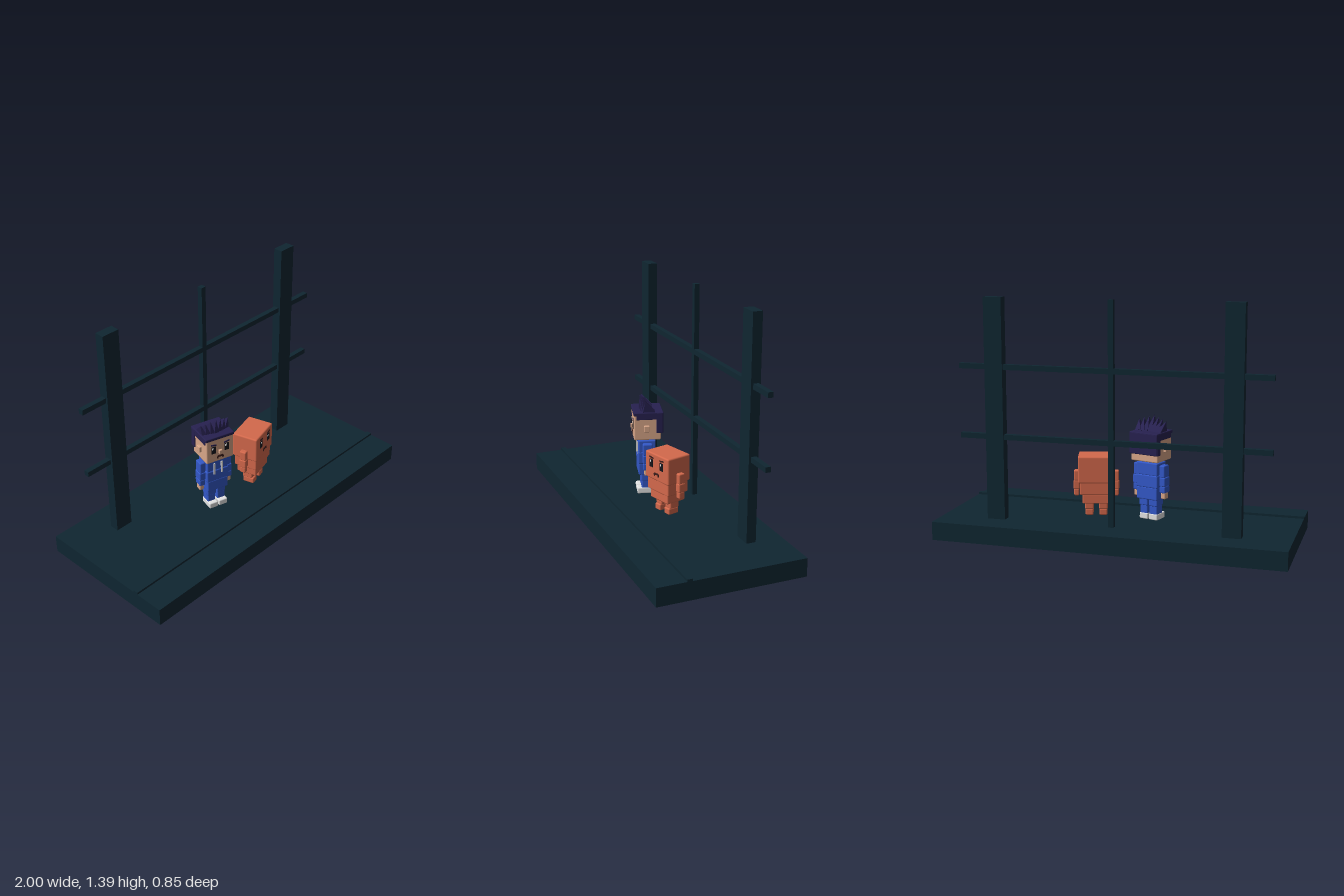
import * as THREE from 'three';
import { RoundedBoxGeometry } from 'three/addons/geometries/RoundedBoxGeometry.js';

const mat = (name, color) => {
  const m = new THREE.MeshStandardMaterial({ color });
  m.name = name;
  return m;
};

export function createModel() {
  const M = {
    wood: mat('dark teal wood', 0x0f2631),
    orange: mat('orange clay', 0xd4694c),
    blue: mat('blue cloth', 0x3358c8),
    skin: mat('skin', 0xd8a688),
    hair: mat('navy hair', 0x272150),
    white: mat('off white', 0xe4e4e4),
    black: mat('black', 0x14141a),
    dark: mat('dark brown', 0x3a1d1a),
  };

  const add = (parent, name, geo, material, x, y, z) => {
    const mesh = new THREE.Mesh(geo, material);
    mesh.name = name;
    mesh.position.set(x, y, z);
    parent.add(mesh);
    return mesh;
  };
  // Sharp box, placed by centre
  const box = (p, name, m, w, h, d, x, y, z) =>
    add(p, name, new THREE.BoxGeometry(w, h, d), m, x, y, z);
  // Soft-edged block, placed by its bottom and top heights
  const block = (p, name, m, w, d, y0, y1, x = 0, z = 0, r = 0.007) =>
    add(p, name, new RoundedBoxGeometry(w, y1 - y0, d, 2, r), m, x, (y0 + y1) / 2, z);

  const group = (parent, name) => {
    const g = new THREE.Group();
    g.name = name;
    parent.add(g);
    return g;
  };

  const model = new THREE.Group();
  model.name = 'figuresOnPlatform';

  // Platform with a low front strip
  const stage = group(model, 'stage');
  box(stage, 'platform', M.wood, 2, 0.105, 0.845, 0, 0.0825, 0);
  box(stage, 'frontStrip', M.wood, 2, 0.02, 0.03, 0, 0.138, 0.24);

  // Fence: two posts, a middle rod and two rails
  for (const s of [-1, 1]) box(stage, 'post', M.wood, 0.105, 1.39, 0.055, s * 0.675, 0.695, -0.238);
  box(stage, 'middleRod', M.wood, 0.03, 1.388, 0.03, 0, 0.694, -0.238);
  for (const y of [0.608, 1.003]) box(stage, 'rail', M.wood, 1.77, 0.03, 0.03, 0, y, -0.238);

  // Eyes, brows and mouth as thin plates on a face plane
  const face = (p, z, eyeX, eyeY, mouthY, brow) => {
    for (const s of [-1, 1]) {
      box(p, 'eye', M.black, 0.027, 0.046, 0.005, s * eyeX, eyeY, z);
      box(p, 'eyeShine', M.white, 0.009, 0.012, 0.003, s * eyeX - 0.006, eyeY + 0.012, z + 0.003);
      const b = box(p, 'eyebrow', brow, 0.034, 0.008, 0.006, s * eyeX, eyeY + 0.034, z);
      b.rotation.z = s * 0.15;
    }
    box(p, 'mouth', M.dark, 0.036, 0.011, 0.006, 0, mouthY, z);
    for (const s of [-1, 1]) box(p, 'mouthCorner', M.dark, 0.009, 0.013, 0.006, s * 0.017, mouthY - 0.007, z);
  };

  // Boy in blue
  const boy = group(model, 'boy');
  boy.position.set(-0.163, 0, -0.003);
  boy.rotation.y = -0.28;
  block(boy, 'head', M.skin, 0.172, 0.155, 0.478, 0.635);
  face(boy, 0.078, 0.042, 0.562, 0.512, M.hair);
  block(boy, 'nose', M.skin, 0.02, 0.02, 0.53, 0.555, 0, 0.08, 0.004);
  block(boy, 'neck', M.skin, 0.07, 0.07, 0.455, 0.485);
  block(boy, 'chest', M.blue, 0.135, 0.1, 0.395, 0.468);
  block(boy, 'waist', M.blue, 0.14, 0.105, 0.325, 0.398);
  block(boy, 'hem', M.blue, 0.132, 0.1, 0.255, 0.328);
  for (const s of [-1, 1]) {
    box(boy, 'drawstring', M.white, 0.01, 0.075, 0.008, s * 0.024, 0.41, 0.052);
    block(boy, 'ear', M.skin, 0.02, 0.032, 0.53, 0.567, s * 0.091, 0.005, 0.004);
    // Arm: shoulder, elbow, cuff, hand
    block(boy, 'upperArm', M.blue, 0.036, 0.055, 0.385, 0.455, s * 0.083);
    block(boy, 'elbow', M.blue, 0.04, 0.058, 0.335, 0.388, s * 0.085);
    block(boy, 'cuff', M.blue, 0.036, 0.055, 0.297, 0.338, s * 0.087);
    block(boy, 'hand', M.skin, 0.028, 0.04, 0.262, 0.3, s * 0.088);
    // Leg: thigh, shin, shoe
    block(boy, 'thigh', M.blue, 0.056, 0.07, 0.215, 0.262, s * 0.031);
    block(boy, 'shin', M.blue, 0.05, 0.062, 0.165, 0.22, s * 0.031);
    block(boy, 'shoe', M.white, 0.055, 0.09, 0.135, 0.172, s * 0.031, 0.012);
  }

  // Hair: cap, back, side flaps and a fan of spikes
  const hair = group(boy, 'hair');
  block(hair, 'hairCap', M.hair, 0.182, 0.172, 0.625, 0.645, 0, -0.006, 0.005);
  block(hair, 'hairBack', M.hair, 0.18, 0.035, 0.52, 0.642, 0, -0.075, 0.005);
  for (const s of [-1, 1]) {
    block(hair, 'sideBand', M.hair, 0.012, 0.15, 0.602, 0.64, s * 0.085, -0.01, 0.003);
    block(hair, 'sideFlap', M.hair, 0.014, 0.036, 0.52, 0.64, s * 0.085, -0.07, 0.003);
  }
  for (let i = -3; i <= 3; i++) {
    const h = 0.098 - Math.abs(i) * 0.008;
    const geo = new THREE.ConeGeometry(0.03, h, 4, 1).rotateY(Math.PI / 4).toNonIndexed();
    geo.computeVertexNormals();
    geo.scale(0.85, 1, 1.9).translate(0, h / 2, 0);
    const spike = add(hair, 'hairSpike', geo, M.hair, i * 0.022, 0.635, 0.006 - Math.abs(i) * 0.004);
    spike.rotation.set(0.3, 0, -i * 0.1);
  }

  // Orange block creature
  const creature = group(model, 'creature');
  creature.position.set(0.163, 0, 0);
  creature.rotation.y = 0.27;
  block(creature, 'head', M.orange, 0.205, 0.157, 0.332, 0.488, 0, 0, 0.009);
  block(creature, 'belly', M.orange, 0.185, 0.143, 0.263, 0.336);
  block(creature, 'hips', M.orange, 0.155, 0.125, 0.21, 0.267);
  face(creature, 0.079, 0.045, 0.428, 0.374, M.dark);
  for (const s of [-1, 1]) {
    block(creature, 'upperArm', M.orange, 0.034, 0.04, 0.335, 0.395, s * 0.112);
    block(creature, 'forearm', M.orange, 0.036, 0.043, 0.285, 0.338, s * 0.113);
    block(creature, 'hand', M.orange, 0.03, 0.036, 0.247, 0.288, s * 0.113);
    block(creature, 'leg', M.orange, 0.05, 0.062, 0.17, 0.214, s * 0.04);
    block(creature, 'foot', M.orange, 0.046, 0.07, 0.135, 0.173, s * 0.04, 0.005);
  }

  return model;
}
